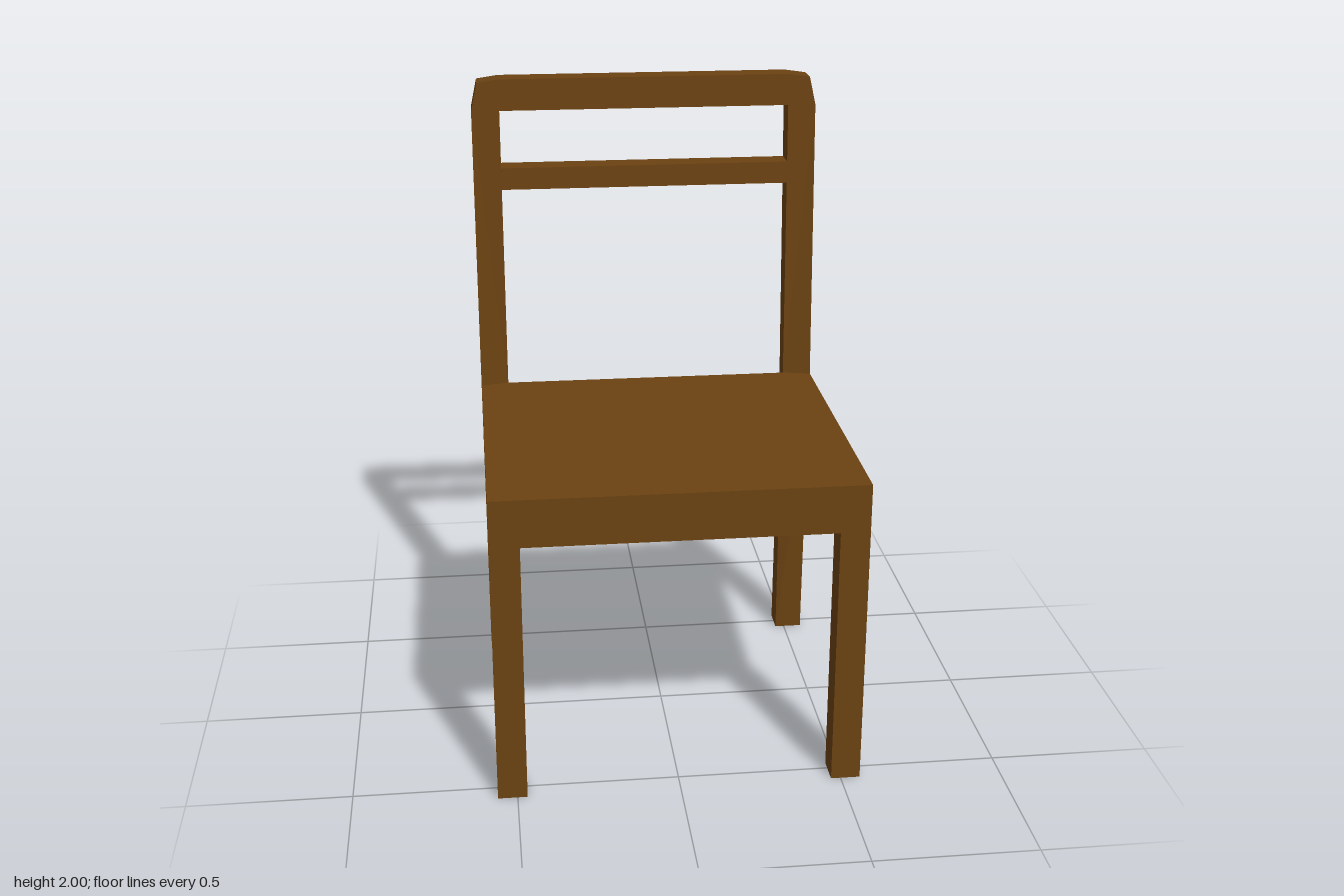
import * as THREE from 'three';

const wood = new THREE.MeshStandardMaterial({ color: 0x6b4212, flatShading: true });
const W = 0.56, IN = 0.47;            // outer and inner x of the legs
const SEAT_LOW = 0.835, SEAT_TOP = 0.985;

function add(group, name, geometry, x = 0, y = 0, z = 0) {
  const mesh = new THREE.Mesh(geometry, wood);
  mesh.name = name;
  mesh.position.set(x, y, z);
  group.add(mesh);
}

// z of the backrest's front face at height y (it leans backwards)
const leanFront = (y) => -0.42 - 0.055 * (y - SEAT_TOP) / (2 - SEAT_TOP);

// Four-sided post lofted through sections [y, outer front z, inner front z, back z]
function postGeometry(side, sections) {
  const pos = [], idx = [];
  for (const [y, zOuter, zInner, zBack] of sections) {
    pos.push(side * W, y, zOuter, side * W, y, zBack, side * IN, y, zBack, side * IN, y, zInner);
  }
  const quad = (a, b, c, d) => (side > 0 ? idx.push(a, b, c, a, c, d) : idx.push(a, c, b, a, d, c));
  const last = 4 * (sections.length - 1);
  for (let i = 0; i < last; i += 4) {
    for (let k = 0; k < 4; k++) {
      const n = (k + 1) % 4;
      quad(i + k, i + n, i + 4 + n, i + 4 + k);
    }
  }
  quad(3, 2, 1, 0);
  quad(last, last + 1, last + 2, last + 3);
  const g = new THREE.BufferGeometry();
  g.setAttribute('position', new THREE.Float32BufferAttribute(pos, 3));
  g.setIndex(idx);
  const flat = g.toNonIndexed();
  flat.computeVertexNormals();
  return flat;
}

// Crosspiece of the backrest: outline in x and y, sheared to follow the lean
function leaningRail(points) {
  const shape = new THREE.Shape(points.map(([x, y]) => new THREE.Vector2(x, y)));
  const g = new THREE.ExtrudeGeometry(shape, { depth: 0.085, bevelEnabled: false });
  const p = g.attributes.position;
  for (let i = 0; i < p.count; i++) p.setZ(i, p.getZ(i) - 0.085 + leanFront(p.getY(i)));
  g.computeVertexNormals();
  return g;
}

// Horizontal slab from an outline in x and z
function slab(points, height, hole) {
  const toPath = (list) => list.map(([x, z]) => new THREE.Vector2(x, -z));
  const shape = new THREE.Shape(toPath(points));
  if (hole) shape.holes.push(new THREE.Path(toPath(hole)));
  return new THREE.ExtrudeGeometry(shape, { depth: height, bevelEnabled: false }).rotateX(-Math.PI / 2);
}

export function createModel() {
  const chair = new THREE.Group();
  chair.name = 'chair';

  // Seat: a board on a frame that is open underneath
  const outline = [[-W, 0.56], [W, 0.56], [W, -0.42], [IN, -0.44], [-IN, -0.44], [-W, -0.42]];
  const opening = [[-IN, 0.47], [IN, 0.47], [IN, -0.41], [-IN, -0.41]];
  const boardLow = SEAT_LOW + 0.06;
  add(chair, 'seatFrame', slab(outline, boardLow - SEAT_LOW, opening), 0, SEAT_LOW, 0);
  add(chair, 'seatBoard', slab(outline, SEAT_TOP - boardLow), 0, boardLow, 0);

  // Straight front legs and bent back posts
  for (const side of [1, -1]) {
    const label = side > 0 ? 'left' : 'right';
    add(chair, label + 'FrontLeg', new THREE.BoxGeometry(W - IN, SEAT_LOW, 0.09),
      side * (W + IN) / 2, SEAT_LOW / 2, 0.515);
    add(chair, label + 'BackPost', postGeometry(side, [
      [0, -0.455, -0.455, -0.54],
      [0.86, -0.42, -0.44, -0.505],
      [SEAT_TOP, -0.42, -0.44, -0.505],
      [1.9, leanFront(1.9), leanFront(1.9), leanFront(1.9) - 0.085],
    ]));
  }

  // Backrest crosspieces
  add(chair, 'topRail', leaningRail([
    [-W, 1.9], [W, 1.9], [0.54, 1.99], [IN, 2], [-IN, 2], [-0.54, 1.99],
  ]));
  add(chair, 'backSlat', leaningRail([[-IN, 1.645], [IN, 1.645], [IN, 1.715], [-IN, 1.715]]));

  return chair;
}
